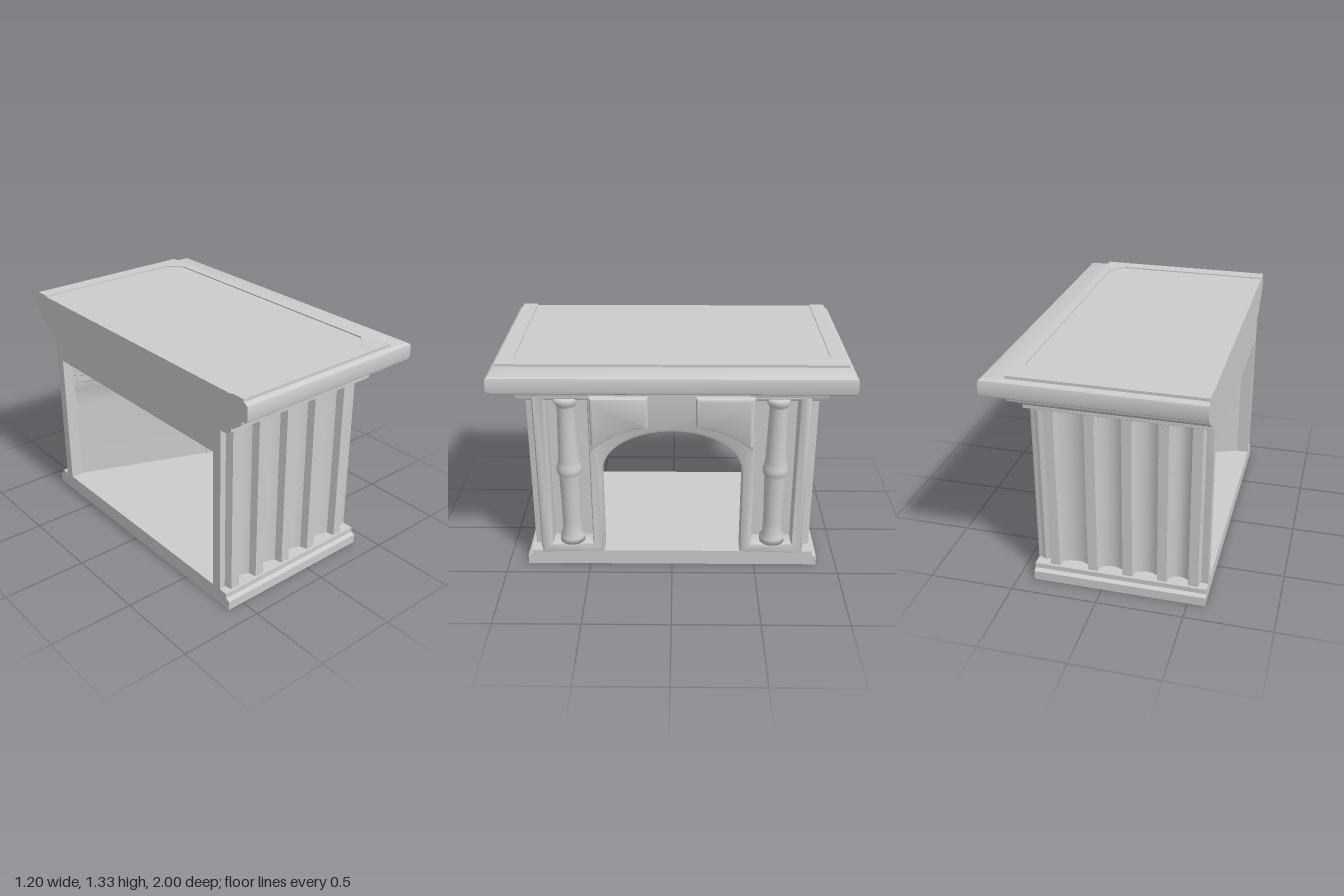
import * as THREE from 'three';
import { toCreasedNormals } from 'three/addons/utils/BufferGeometryUtils.js';

const grey = new THREE.MeshStandardMaterial({ color: 0xcccccc });
const greyDouble = new THREE.MeshStandardMaterial({ color: 0xcccccc, side: THREE.DoubleSide });
const BACK = -0.6;

export function createModel() {
  const model = new THREE.Group();

  const add = (name, geometry, material = grey) => {
    const mesh = new THREE.Mesh(geometry, material);
    mesh.name = name;
    model.add(mesh);
    return mesh;
  };
  const box = (name, x0, x1, y0, y1, z0, z1) => {
    const g = new THREE.BoxGeometry(x1 - x0, y1 - y0, z1 - z0);
    return add(name, g.translate((x0 + x1) / 2, (y0 + y1) / 2, (z0 + z1) / 2));
  };

  // Joins a stack of equal-length point loops (or open paths) with quads
  const loft = (rings, closed) => {
    const pos = [];
    const n = rings[0].length;
    const tri = (...pts) => pts.forEach((p) => pos.push(...p));
    for (let r = 0; r < rings.length - 1; r++) {
      for (let i = 0; i < (closed ? n : n - 1); i++) {
        const j = (i + 1) % n;
        const [a, b, c, d] = [rings[r][i], rings[r][j], rings[r + 1][j], rings[r + 1][i]];
        tri(a, b, c);
        tri(a, c, d);
      }
    }
    if (closed) {
      const first = rings[0], last = rings[rings.length - 1];
      for (let i = 1; i < n - 1; i++) {
        tri(first[0], first[i + 1], first[i]);
        tri(last[0], last[i], last[i + 1]);
      }
    }
    const g = new THREE.BufferGeometry();
    g.setAttribute('position', new THREE.Float32BufferAttribute(pos, 3));
    return toCreasedNormals(g, 0.6);
  };

  // Rectangular mouldings, open to the back: rows of [half width z, front x, y]
  const moulding = (name, rows) => add(name, loft(rows.map(([z, x, y]) =>
    [[BACK, y, z], [x, y, z], [x, y, -z], [BACK, y, -z]]), true));

  // Extrudes a (z, y) outline so its bevelled face ends at x = front
  const facePlate = (name, shape, back, front, bevel) => {
    const g = new THREE.ExtrudeGeometry(shape, {
      depth: front - back - 2 * bevel, bevelThickness: bevel, bevelSize: bevel,
      bevelOffset: -bevel, bevelSegments: 2, curveSegments: 12,
    });
    g.translate(0, 0, back + bevel).rotateY(Math.PI / 2);
    return add(name, toCreasedNormals(g, 0.6));
  };

  // Stepped hearth base
  moulding('base', [[0.88, 0.405, 0], [0.88, 0.405, 0.055], [0.855, 0.405, 0.065], [0.855, 0.405, 0.095]]);

  // Cornice and mantel shelf
  moulding('cornice', [
    [0.845, 0.40, 1.095], [0.88, 0.41, 1.115], [0.88, 0.41, 1.135], [0.90, 0.415, 1.145],
    [0.915, 0.435, 1.16], [0.955, 0.465, 1.185], [0.96, 0.465, 1.21],
  ]);
  moulding('mantelShelf', [
    [0.985, 0.585, 1.21], [0.996, 0.596, 1.218], [1, 0.6, 1.235],
    [1, 0.6, 1.29], [0.996, 0.596, 1.304], [0.985, 0.585, 1.312], [0.965, 0.45, 1.32],
  ]);

  // Low rim around the chamfered top panel
  const rim = new THREE.Shape([[BACK, -0.97], [0.46, -0.97], [0.46, 0.97], [BACK, 0.97],
    [BACK, 0.88], [0.33, 0.88], [0.41, 0.8], [0.41, -0.8], [0.33, -0.88], [BACK, -0.88]]
    .map(([x, z]) => new THREE.Vector2(x, z)));
  add('topRim', new THREE.ExtrudeGeometry(rim, { depth: 0.02, bevelEnabled: false })
    .rotateX(-Math.PI / 2).translate(0, 1.314, 0));
  box('topPanel', BACK, 0.415, 1.3, 1.327, -0.885, 0.885);

  // Arch outline, as [z, y] from one foot to the other
  const steps = 28;
  const archAt = (f) => {
    const t = f * Math.PI;
    return [0.41 * Math.cos(t), 0.61 + 0.29 * Math.pow(Math.sin(t), 0.9)];
  };
  const arch = [[0.41, 0.09]];
  for (let i = 0; i <= steps; i++) arch.push(archAt(i / steps));
  arch.push([-0.41, 0.09]);

  // Front wall with arch and two niches
  const wall = new THREE.Shape([[-0.79, 1.13], [-0.79, 0.08], ...arch.slice().reverse(), [0.79, 0.08], [0.79, 1.13]]
    .map(([z, y]) => new THREE.Vector2(z, y)));
  for (const s of [-1, 1]) {
    wall.holes.push(new THREE.Path([[0.48, 0.15], [0.72, 0.15], [0.72, 1.115], [0.48, 1.115]]
      .map(([z, y]) => new THREE.Vector2(s * z, y))));
  }
  facePlate('frontWall', wall, 0.29, 0.412, 0.018);

  // Firebox flaring from the arch to the open back
  const flare = arch.map(([z], i) => {
    if (i === 0 || i === arch.length - 1) return [Math.sign(z) * 0.77, 0.09];
    const t = ((i - 1) / steps) * Math.PI;
    const c = Math.cos(t), s = Math.sin(t), m = Math.max(Math.abs(c), s);
    return [0.77 * c / m, 0.61 + 0.34 * s / m];
  });
  add('firebox', loft([
    arch.map(([z, y]) => [0.32, y, z]),
    flare.map(([z, y]) => [BACK, y, z]),
  ], false), greyDouble);
  box('backLintel', BACK, -0.575, 0.945, 1.12, -0.8, 0.8);

  // Niche columns: turned profile of [radius, y]
  const profile = [[0, 0.155], [0.075, 0.155], [0.075, 0.19], [0.06, 0.21], [0.056, 0.3], [0.062, 0.6],
    [0.072, 0.62], [0.076, 0.645], [0.07, 0.67], [0.062, 0.7], [0.057, 0.85], [0.052, 1.04],
    [0.06, 1.06], [0.072, 1.075], [0.072, 1.105], [0, 1.105]].map(([r, y]) => new THREE.Vector2(r, y));

  // Fluted side outline in plan: flat ribs with hollows between
  const ribs = [[-0.56, -0.485], [-0.38, -0.305], [-0.18, -0.105], [0.025, 0.1], [0.25, 0.325]];
  const plan = new THREE.Shape();
  plan.moveTo(BACK, 0.74);
  plan.lineTo(BACK, 0.80);
  ribs.forEach(([a, b], i) => {
    plan.lineTo(a, 0.795);
    plan.lineTo(a + 0.01, 0.84);
    plan.lineTo(b - 0.01, 0.84);
    plan.lineTo(b, 0.795);
    if (ribs[i + 1]) plan.quadraticCurveTo((b + ribs[i + 1][0]) / 2, 0.755, ribs[i + 1][0], 0.795);
  });
  plan.lineTo(0.36, 0.80);
  plan.lineTo(0.395, 0.785);
  plan.lineTo(0.395, 0.74);
  const sideGeo = toCreasedNormals(new THREE.ExtrudeGeometry(plan, { depth: 1.02, bevelEnabled: false, curveSegments: 8 })
    .rotateX(Math.PI / 2).translate(0, 1.105, 0), 0.5);

  // Raised spandrel beside the arch crown
  const spandrel = new THREE.Shape();
  spandrel.moveTo(0.135, 1.125);
  spandrel.lineTo(0.135, 0.94);
  spandrel.quadraticCurveTo(0.34, 0.91, 0.465, 0.79);
  spandrel.lineTo(0.465, 1.125);

  [[1, 'left'], [-1, 'right']].forEach(([s, side]) => {
    add(side + 'FlutedSide', sideGeo).rotation.y = 0;
    if (s < 0) model.children[model.children.length - 1].scale.z = -1;
    box(side + 'NicheBack', 0.28, 0.3, 0.14, 1.12, Math.min(s * 0.47, s * 0.73), Math.max(s * 0.47, s * 0.73));
    add(side + 'Column', new THREE.LatheGeometry(profile, 20)).position.set(0.362, 0, s * 0.605);
    facePlate(side + 'Spandrel', spandrel, 0.36, 0.455, 0.025).scale.z = s;
  });

  return model;
}
